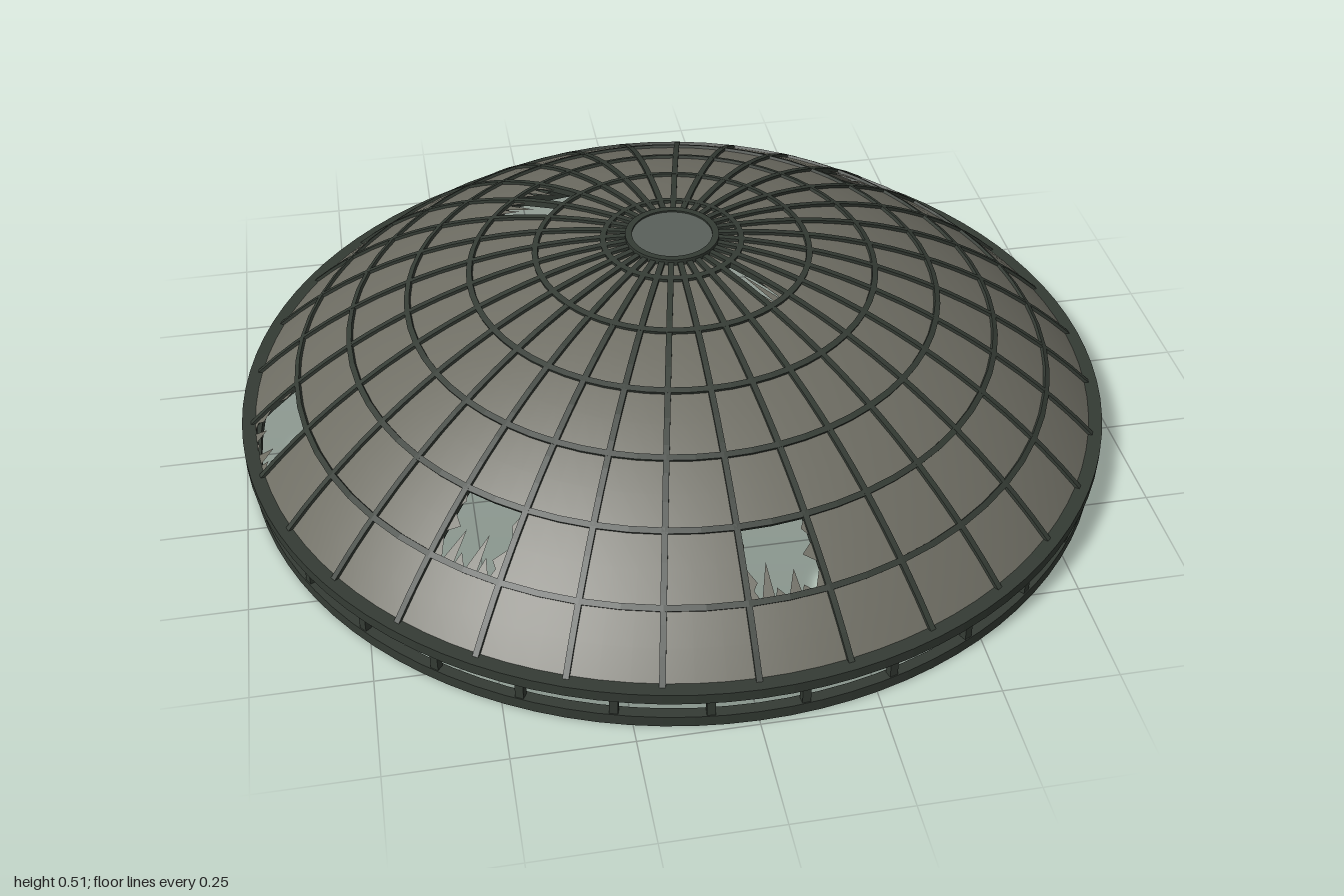
import * as THREE from 'three';
import { mergeGeometries } from 'three/addons/utils/BufferGeometryUtils.js';

const R = 1.38, APEX = 0.498;          // dome sphere radius and top height
const SEGS = 32, BANDS = 7;
const DA = Math.PI * 2 / SEGS;         // angle of one segment, from +z towards +x
const DT = Math.PI / 4 / BANDS;        // polar angle of one band

const shellMat = new THREE.MeshStandardMaterial({ name: 'weathered panel', color: 0x6e6d63, side: THREE.DoubleSide });
const frameMat = new THREE.MeshStandardMaterial({ name: 'dark green frame', color: 0x343b34 });
const capMat = new THREE.MeshStandardMaterial({ name: 'grey green cap', color: 0x59605a });

// Broken panels: segment, band, spike lengths on the outer, left and right edges
const holes = [
  { seg: 0, band: 5, outer: [0.25, 0.5, 0.15, 0.35, 0.12, 0.3], left: [0.06, 0.15], right: [0.12, 0.2, 0.08] },
  { seg: 15, band: 5, outer: [0.2, 0.3, 0.15, 0.5, 0.25, 0.4], left: [0.15, 0.08, 0.2], right: [0.1, 0.2, 0.3] },
  { seg: 11, band: 4, outer: [0.5, 0.3, 0.6, 0.35, 0.55, 0.3], left: [0.15, 0.25], right: [0.12, 0.2] },
  { seg: 19, band: 2, outer: [0.4, 0.65, 0.3, 0.5], left: [0.1, 0.2], right: [0.08] },
  { seg: 20, band: 2, outer: [0.3, 0.6, 0.35, 0.5], left: [0.08], right: [0.2, 0.12] },
  { seg: 24, band: 6, outer: [0.15, 0.3, 0.12, 0.35, 0.2], left: [0.1, 0.15], right: [0.05, 0.1] },
  { seg: 28, band: 5, outer: [0.3, 0.5, 0.2, 0.55, 0.25, 0.4], left: [0.1, 0.2, 0.1], right: [0.12, 0.2] },
  { seg: 3, band: 1, outer: [0.55, 0.7, 0.45], left: [0.25, 0.15], right: [0.2, 0.3] },
];

function domePoint(angle, polar, radius = R) {
  const r = radius * Math.sin(polar);
  return new THREE.Vector3(r * Math.sin(angle), APEX - R + radius * Math.cos(polar), r * Math.cos(angle));
}

function add(parent, name, geometry, material) {
  const mesh = new THREE.Mesh(geometry, material);
  mesh.name = name;
  parent.add(mesh);
  return mesh;
}

// Square-section hoop around the y axis
function hoop(inner, outer, bottom, top) {
  const pts = [[inner, bottom], [outer, bottom], [outer, top], [inner, top], [inner, bottom]];
  return flat(new THREE.LatheGeometry(pts.map(p => new THREE.Vector2(...p)), 96));
}

function flat(geometry) {
  const g = geometry.toNonIndexed();
  g.computeVertexNormals();
  return g;
}

// All whole panels of the dome
function panels() {
  const parts = [];
  for (let band = 0; band < BANDS; band++) {
    for (let seg = 0; seg < SEGS; seg++) {
      if (holes.some(h => h.seg === seg && h.band === band)) continue;
      parts.push(new THREE.SphereGeometry(R, 2, 2, seg * DA + Math.PI / 2, DA, band * DT, DT));
    }
  }
  return mergeGeometries(parts).translate(0, APEX - R, 0);
}

// Jagged splinters left around the edges of each broken panel
function splinters() {
  const pos = [], nor = [];
  const centre = new THREE.Vector3(0, APEX - R, 0);
  for (const h of holes) {
    const tri = (...uv) => uv.forEach(([u, v]) => {
      const p = domePoint((h.seg + u) * DA, (h.band + v) * DT);
      pos.push(...p.toArray());
      nor.push(...p.sub(centre).normalize().toArray());
    });
    const spikes = (list, make) => list.forEach((d, i) => make(i / list.length, (i + 1) / list.length, d, i));
    spikes(h.outer, (a, b, d, i) => tri([a, 1], [b, 1], [(a + b) / 2 + (i % 2 ? 0.05 : -0.04), 1 - d]));
    spikes(h.left, (a, b, d) => tri([0, b], [d, (a + b) / 2], [0, a]));
    spikes(h.right, (a, b, d) => tri([1, a], [1 - d, (a + b) / 2], [1, b]));
  }
  const g = new THREE.BufferGeometry();
  g.setAttribute('position', new THREE.Float32BufferAttribute(pos, 3));
  g.setAttribute('normal', new THREE.Float32BufferAttribute(nor, 3));
  return g;
}

// A straight bar bent along the dome from the hub to the rim
function rib(angle) {
  const start = 0.1 / R, end = BANDS * DT;
  const g = new THREE.BoxGeometry(0.013, 0.014, 1, 1, 1, 16);
  const p = g.attributes.position;
  for (let i = 0; i < p.count; i++) {
    const polar = start + (p.getZ(i) + 0.5) * (end - start);
    const q = domePoint(0, polar, R + p.getY(i));
    p.setXYZ(i, p.getX(i), q.y, q.z);
  }
  return flat(g).rotateY(angle);
}

// A hoop lying on the dome at one polar angle, tilted with its surface
function domeHoop(polar) {
  const w = 0.0065 / R, h = 0.007;
  const corners = [[-w, -h], [w, -h], [w, h], [-w, h], [-w, -h]];
  const pts = corners.map(([t, d]) => {
    const q = domePoint(0, polar + t, R + d);
    return new THREE.Vector2(q.z, q.y);
  });
  return flat(new THREE.LatheGeometry(pts, 64));
}

export function createModel() {
  const model = new THREE.Group();
  model.name = 'domeRoof';

  // Shell
  const shell = new THREE.Group();
  shell.name = 'shell';
  add(shell, 'panels', panels(), shellMat);
  add(shell, 'brokenPanelSplinters', splinters(), shellMat);
  model.add(shell);

  // Lattice
  const lattice = new THREE.Group();
  lattice.name = 'lattice';
  for (let i = 0; i < SEGS; i++) add(lattice, 'rib', rib(i * DA), frameMat);
  for (let k = 1; k < BANDS; k++) add(lattice, 'latticeHoop', domeHoop(k * DT), frameMat);
  model.add(lattice);

  // Hub at the top
  add(model, 'hubRing', hoop(0.09, 0.105, 0.48, 0.508), frameMat);
  add(model, 'hubCap', new THREE.CylinderGeometry(0.092, 0.092, 0.014, 48).translate(0, 0.497, 0), capMat);

  // Rim, base ring and the posts between them
  add(model, 'rim', hoop(0.968, 1, 0.075, 0.1), frameMat);
  add(model, 'baseRing', hoop(0.966, 0.99, 0, 0.026), frameMat);
  const posts = new THREE.Group();
  posts.name = 'posts';
  for (let i = 0; i < SEGS; i++) {
    const post = new THREE.BoxGeometry(0.018, 0.056, 0.016).translate(0, 0.05, 0.979);
    add(posts, 'post', post.rotateY((i + 0.5) * DA), frameMat);
  }
  model.add(posts);

  return model;
}
